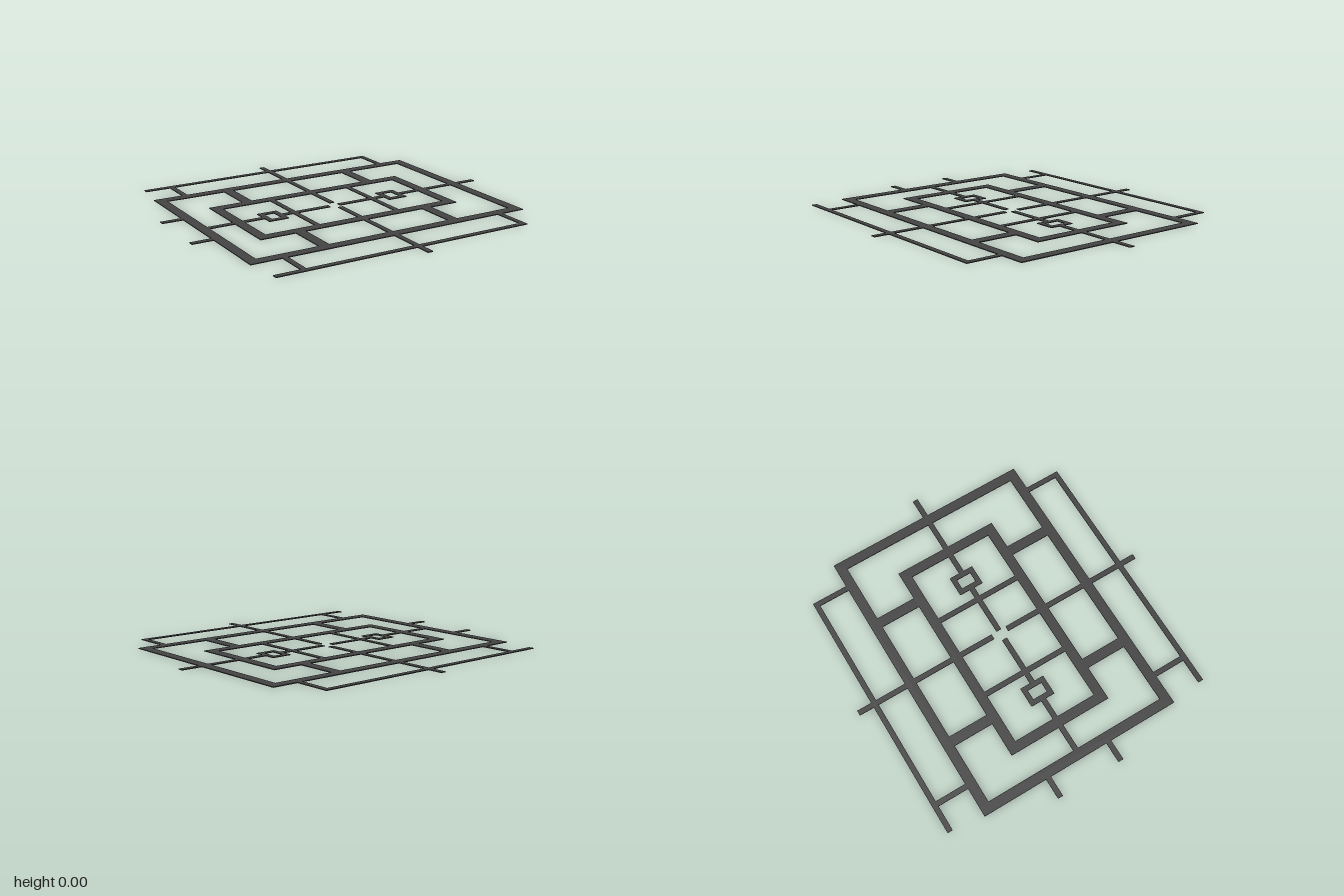
import * as THREE from 'three';

const THICK = 0.005;
const material = new THREE.MeshStandardMaterial({ color: 0x444444, flatShading: true });

// Flat strip filling the rectangle x0..x1, z0..z1
function strip(name, x0, x1, z0, z1) {
  const mesh = new THREE.Mesh(new THREE.BoxGeometry(x1 - x0, THICK, z1 - z0), material);
  mesh.position.set((x0 + x1) / 2, THICK / 2, (z0 + z1) / 2);
  mesh.name = name;
  return mesh;
}

// Rectangular ring of the given band width
function ring(name, x0, x1, z0, z1, band) {
  const corners = (i) => [
    [x0 + i, -z1 + i], [x1 - i, -z1 + i], [x1 - i, -z0 - i], [x0 + i, -z0 - i],
  ].map(([x, y]) => new THREE.Vector2(x, y));
  const shape = new THREE.Shape(corners(0));
  shape.holes.push(new THREE.Path(corners(band).reverse()));
  const geometry = new THREE.ExtrudeGeometry(shape, { depth: THICK, bevelEnabled: false });
  geometry.rotateX(-Math.PI / 2);
  const mesh = new THREE.Mesh(geometry, material);
  mesh.name = name;
  return mesh;
}

export function createModel() {
  const group = new THREE.Group();
  group.name = 'roadNetwork';
  const W = 0.016; // half width of a narrow road

  // Ring roads and the two small blocks
  group.add(
    ring('outerRingRoad', -0.875, 0.875, -0.63, 0.627, 0.06),
    ring('innerRingRoad', -0.66, 0.63, -0.325, 0.32, 0.06),
    ring('smallBlockRight', -0.476, -0.353, -0.08, 0.073, 0.031),
    ring('smallBlockLeft', 0.322, 0.446, -0.08, 0.073, 0.031),
  );

  // Wide connectors between the rings
  for (const x of [-0.416, 0.416]) {
    group.add(
      strip('backConnector', x - 0.031, x + 0.031, -0.57, -0.325),
      strip('frontConnector', x - 0.031, x + 0.031, 0.32, 0.567),
    );
  }

  // Central avenue, broken at the middle and by the rings
  for (const [z0, z1] of [[-0.94, -0.63], [-0.57, -0.325], [-0.265, -0.05],
    [0.045, 0.26], [0.32, 0.567], [0.627, 0.935]]) {
    group.add(strip('centralAvenue', -W, W, z0, z1));
  }

  // Cross street, broken at the middle, the blocks and the rings
  for (const [x0, x1] of [[-0.815, -0.66], [-0.6, -0.476], [-0.353, -0.047],
    [0.016, 0.322], [0.446, 0.57], [0.63, 0.815], [0.875, 1]]) {
    group.add(strip('crossStreet', x0, x1, -W, W));
  }

  // Narrow streets inside the inner ring
  for (const x of [-0.278, 0.246]) {
    group.add(strip('innerStreet', x - W, x + W, -0.265, 0.26));
  }

  // Outlying roads at back and front, with links to the outer ring
  group.add(
    strip('backOuterRoad', -0.848, 0.722, -0.85, -0.818),
    strip('frontOuterRoad', -0.848, 0.722, 0.813, 0.845),
  );
  for (const x of [-0.679, 0.706]) {
    group.add(
      strip('backLink', x - W, x + W, -0.818, -0.63),
      strip('frontLink', x - W, x + W, 0.627, 0.813),
    );
  }

  // Short side stubs
  for (const z of [-0.217, 0.182]) {
    group.add(strip('sideStub', -1, -0.875, z - W, z + W));
  }
  return group;
}
